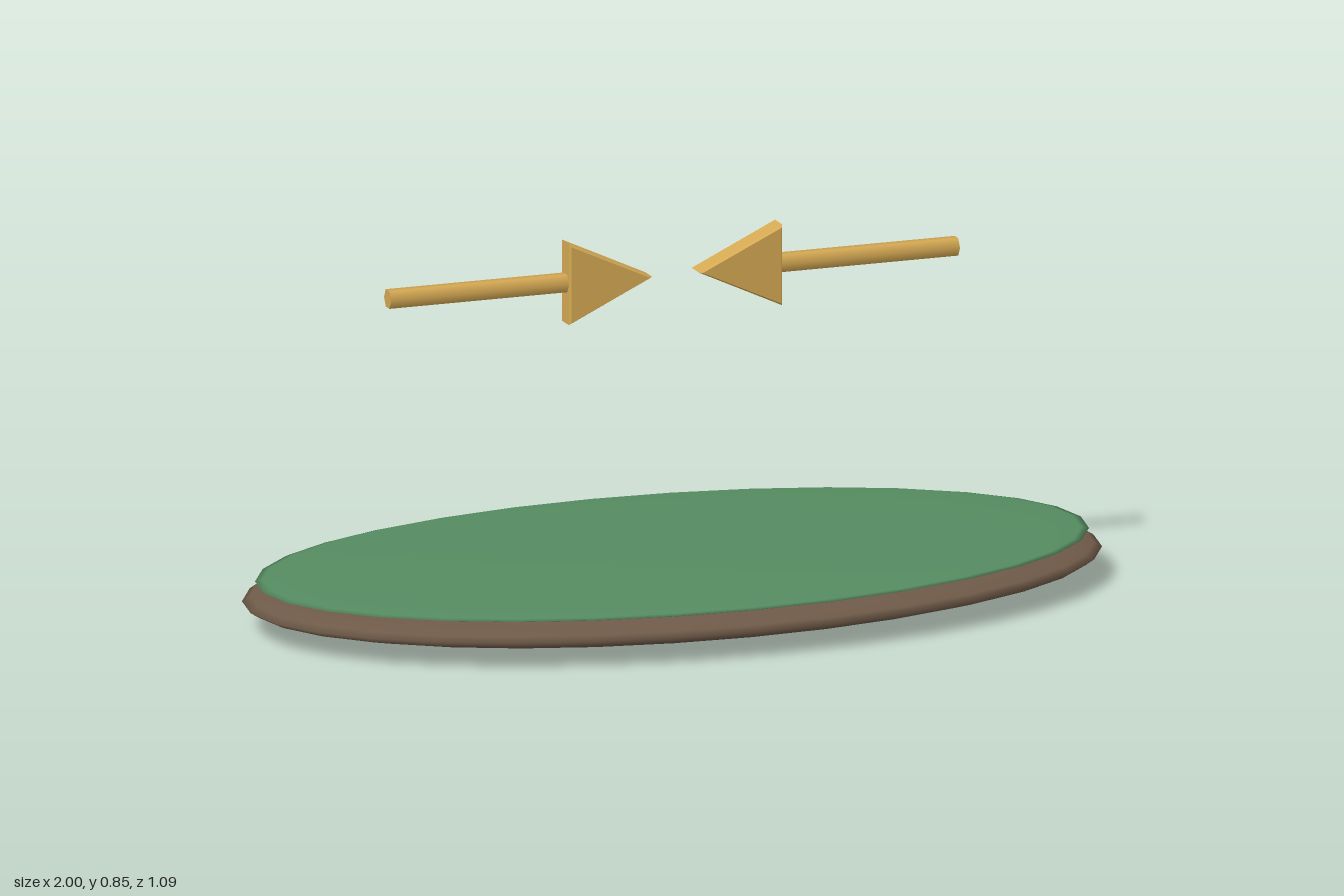
import * as THREE from 'three';

const GOLD = new THREE.MeshStandardMaterial({ color: 0xd4a853 });
const GREEN = new THREE.MeshStandardMaterial({ color: 0x558b60 });
const BROWN = new THREE.MeshStandardMaterial({ color: 0x6f5a48 });

// Flattened sphere, rx/ry/rz are its half sizes
function disc(name, material, y, rx, ry, rz) {
  const geometry = new THREE.SphereGeometry(1, 32, 16).scale(rx, ry, rz);
  const mesh = new THREE.Mesh(geometry, material);
  mesh.name = name;
  mesh.position.y = y;
  return mesh;
}

// Arrow on the +x side, pointing inwards to the centre
function arrow(name) {
  const group = new THREE.Group();
  group.name = name;

  // Hexagonal shaft
  const shaft = new THREE.Mesh(new THREE.CylinderGeometry(0.023, 0.023, 0.424, 6), GOLD);
  shaft.name = 'arrowShaft';
  shaft.rotation.z = Math.PI / 2;
  shaft.position.x = 0.463;

  // Bevelled triangular head
  const triangle = new THREE.Shape([
    new THREE.Vector2(0.055, 0),
    new THREE.Vector2(0.253, -0.093),
    new THREE.Vector2(0.253, 0.093),
  ]);
  const headGeometry = new THREE.ExtrudeGeometry(triangle, {
    depth: 0.044,
    bevelEnabled: true,
    bevelThickness: 0.008,
    bevelSize: 0.005,
    bevelOffset: -0.005,
    bevelSegments: 1,
  }).translate(0, 0, -0.022);
  const head = new THREE.Mesh(headGeometry, GOLD);
  head.name = 'arrowHead';

  group.add(shaft, head);
  group.position.y = 0.753;
  return group;
}

export function createModel() {
  const model = new THREE.Group();
  model.name = 'islandWithArrows';

  // Ground: brown base with a thin grassy cap
  model.add(disc('earthBase', BROWN, 0.061, 1, 0.061, 0.546));
  model.add(disc('grassTop', GREEN, 0.105, 0.97, 0.018, 0.524));

  // Two arrows facing each other
  const left = arrow('leftArrow');
  const right = arrow('rightArrow');
  right.rotation.y = Math.PI;
  model.add(left, right);
  return model;
}
